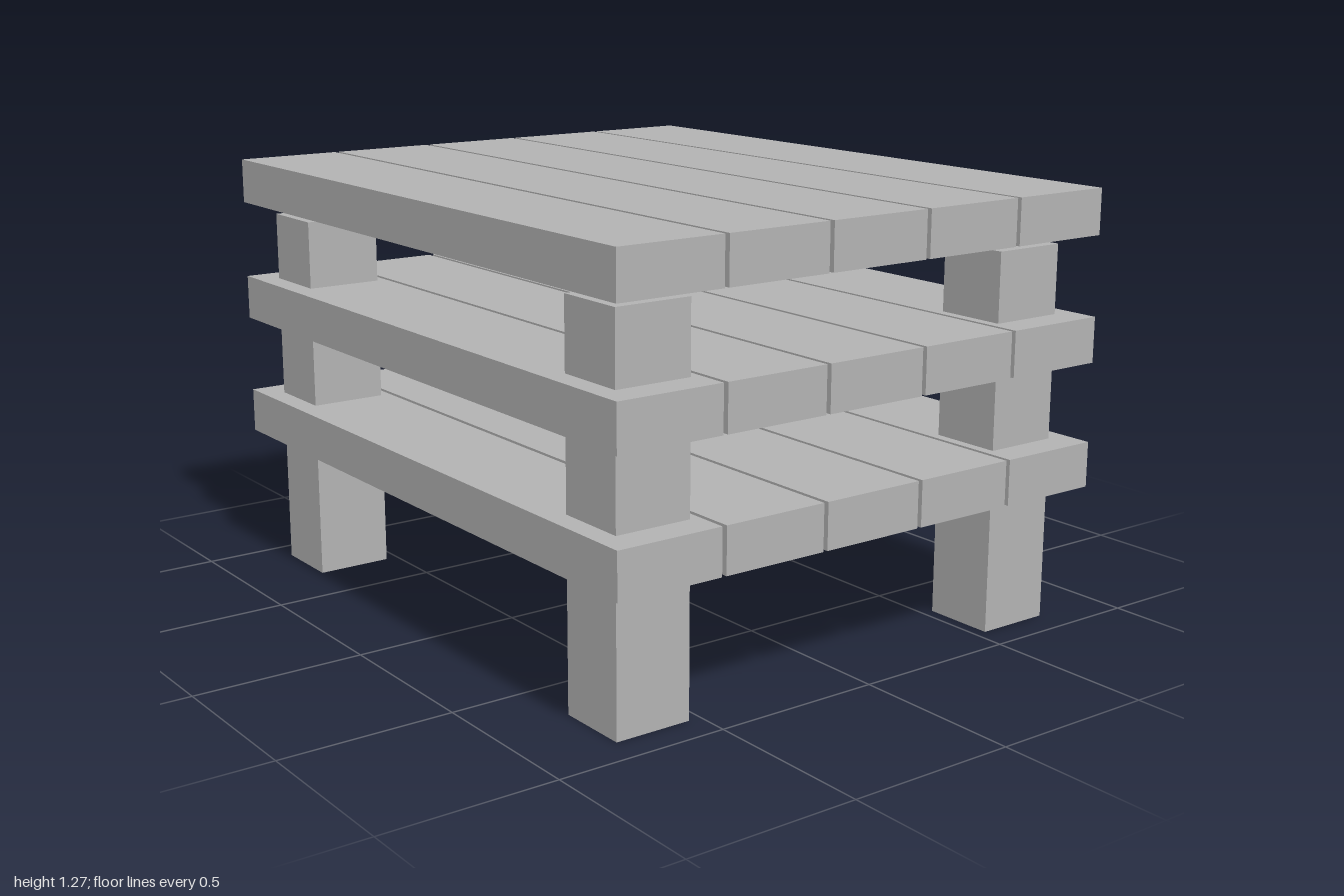
import * as THREE from 'three';

export function createModel() {
  const model = new THREE.Group();
  const grey = new THREE.MeshStandardMaterial({ color: 0xb2b2b2 });
  grey.name = 'plain grey';

  const addBox = (parent, name, [w, h, d], [x, y, z]) => {
    const mesh = new THREE.Mesh(new THREE.BoxGeometry(w, h, d), grey);
    mesh.name = name;
    mesh.position.set(x, y, z);
    parent.add(mesh);
  };

  // Four square posts, stopping just short of the top deck
  const postHeight = 1.11;
  for (const sx of [1, -1]) {
    for (const sz of [1, -1]) {
      const name = (sz > 0 ? 'front' : 'back') + (sx > 0 ? 'Left' : 'Right') + 'Post';
      addBox(model, name, [0.216, postHeight, 0.228], [sx * 0.798, postHeight / 2, sz * 0.651]);
    }
  }

  // Three decks of five planks with narrow gaps
  const decks = { lowerShelf: 0.475, upperShelf: 0.841, topDeck: 1.207 };
  for (const [name, y] of Object.entries(decks)) {
    const deck = new THREE.Group();
    deck.name = name;
    deck.position.y = y;
    for (let i = 0; i < 5; i++) {
      addBox(deck, `plank${i + 1}`, [2, 0.133, 0.32], [0, 0, (i - 2) * 0.3338]);
    }
    model.add(deck);
  }

  return model;
}
